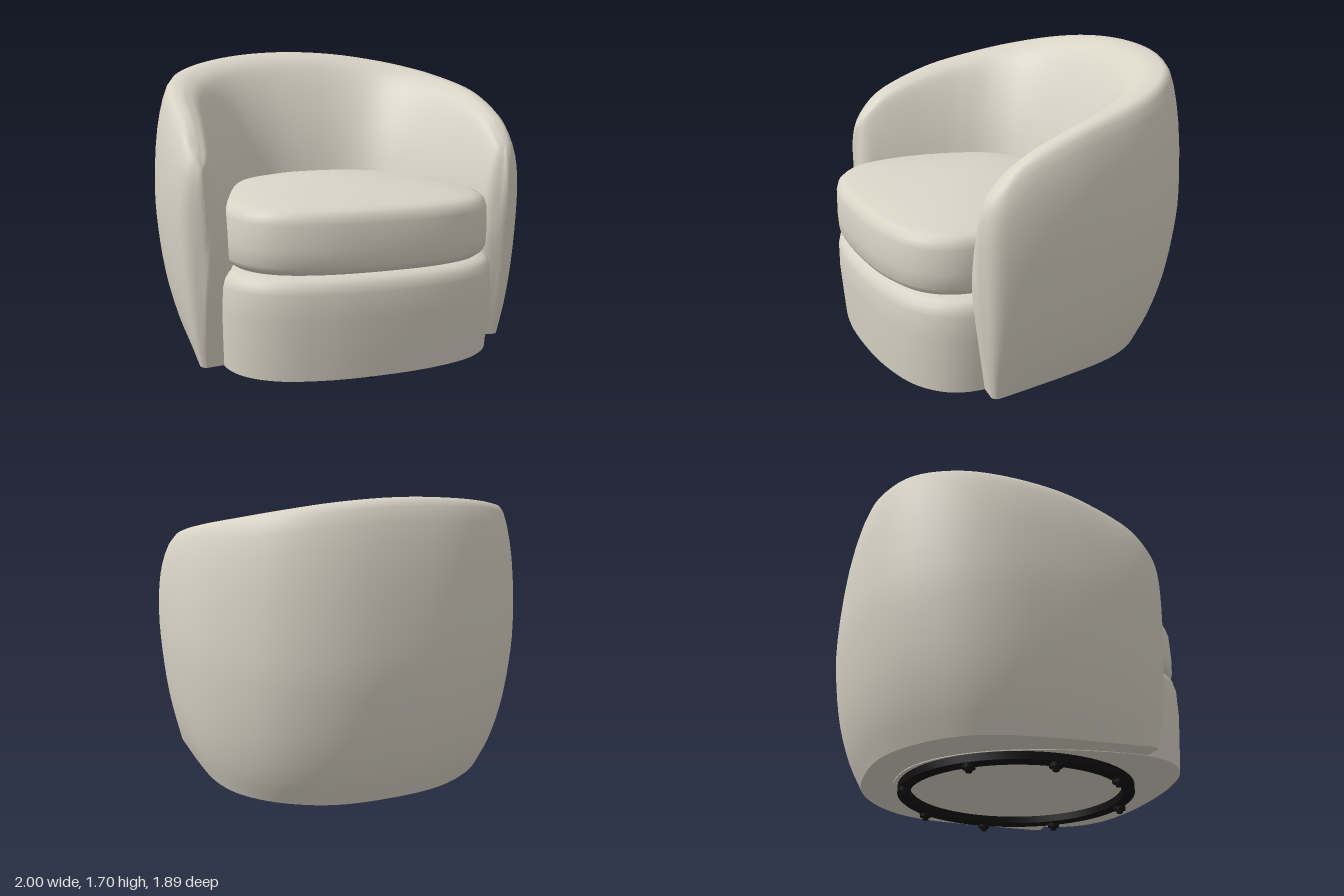
import * as THREE from 'three';
import { toCreasedNormals } from 'three/addons/utils/BufferGeometryUtils.js';

const V = (x, y, z) => new THREE.Vector3(x, y, z);
const mix = (a, b, t) => a + (b - a) * t;

// Skin a stack of point rows; columns run rightwards as seen from outside, rows run upwards
function skin(rows, closed, crease) {
  const n = rows[0].length, pos = [], index = [];
  rows.forEach(r => r.forEach(p => pos.push(p.x, p.y, p.z)));
  for (let r = 0; r < rows.length - 1; r++) {
    for (let c = 0; c < (closed ? n : n - 1); c++) {
      const a = r * n + c, b = r * n + (c + 1) % n;
      index.push(a, b, b + n, a, b + n, a + n);
    }
  }
  const g = new THREE.BufferGeometry();
  g.setAttribute('position', new THREE.Float32BufferAttribute(pos, 3));
  g.setIndex(index);
  return toCreasedNormals(g, crease);
}

// Upholstered pad: mirrored plan outline, stacked as [height, scale] layers
function pad(half, layers, cz) {
  const mirrored = half.slice(1, -1).reverse().map(([x, z]) => [-x, z]);
  const curve = new THREE.CatmullRomCurve3([...half, ...mirrored].map(([x, z]) => V(x, 0, z)), true);
  const plan = curve.getPoints(72).slice(0, -1);
  return skin(layers.map(([y, s]) => plan.map(p => V(p.x * s, y, cz + (p.z - cz) * s))), true, 0.8);
}

// Cross-section of the wrap-around shell: outer foot, up over the crest, down inside
function section({ o, b, c, i }) {
  const at = (p, q, t, y) => V(mix(p[0], q[0], t), y, mix(p[1], q[1], t));
  const cy = c[1], top = [c[0], c[2]];
  const edge = [mix(o[0], top[0], 0.55), mix(o[1], top[1], 0.55)];
  const foot = [i[0], i[1] - 0.6 * Math.max(0, i[1] - 0.5)]; // arm tips lean back at the floor
  return [
    at(b, o, 0, 0.09), at(b, o, 0.4, 0.25), at(b, o, 0.72, 0.45), at(b, o, 0.93, 0.7), at(o, o, 0, 0.95),
    at(o, edge, 0.3, mix(0.95, cy, 0.55)), at(edge, edge, 0, cy - 0.035), at(top, top, 0, cy),
    at(top, i, 0.18, cy - 0.02), at(top, i, 0.37, mix(cy, 0.75, 0.1)), at(top, i, 0.6, mix(cy, 0.75, 0.31)),
    at(top, i, 0.8, mix(cy, 0.75, 0.57)), at(top, i, 0.94, mix(cy, 0.75, 0.85)),
    at(i, i, 0, 0.68), at(i, foot, 0.3, 0.45), at(foot, foot, 0, 0.09),
  ];
}

function shellGeometry() {
  // Stations from the centre of the back to the tip of the left arm:
  // o = widest outline, b = bottom outline, c = crest, i = inner line at the seat
  const half = [
    { o: [0, -0.945], b: [0, -0.75], c: [0, 1.695, -0.775], i: [0, -0.27] },
    { o: [0.35, -0.91], b: [0.3, -0.72], c: [0.3, 1.68, -0.745], i: [0.2, -0.25] },
    { o: [0.645, -0.775], b: [0.55, -0.6], c: [0.56, 1.64, -0.64], i: [0.35, -0.18] },
    { o: [0.86, -0.53], b: [0.73, -0.42], c: [0.735, 1.59, -0.45], i: [0.45, -0.07] },
    { o: [0.968, -0.27], b: [0.82, -0.2], c: [0.825, 1.54, -0.22], i: [0.52, 0.07] },
    { o: [1, 0.05], b: [0.85, 0.08], c: [0.87, 1.48, 0.05], i: [0.57, 0.2] },
    { o: [0.995, 0.32], b: [0.86, 0.3], c: [0.87, 1.405, 0.28], i: [0.63, 0.37] },
    { o: [0.97, 0.5], b: [0.865, 0.45], c: [0.865, 1.33, 0.43], i: [0.68, 0.5] },
    { o: [0.93, 0.59], b: [0.865, 0.53], c: [0.86, 1.23, 0.54], i: [0.73, 0.6] },
    { o: [0.84, 0.638], b: [0.84, 0.556], c: [0.85, 1.17, 0.585], i: [0.84, 0.638] },
  ].map(section);
  const flipped = half.slice(1).map(s => s.map(p => V(-p.x, p.y, p.z)));
  const stations = [...half.reverse(), ...flipped];

  // Smooth along the sweep, then across each section; the end sections fold shut
  const rails = stations[0].map((_, j) =>
    new THREE.CatmullRomCurve3(stations.map(s => s[j]), false, 'catmullrom', 0.5).getPoints(90));
  const columns = rails[0].map((_, k) => {
    const pts = new THREE.CatmullRomCurve3(rails.map(r => r[k]), false, 'catmullrom', 0.5).getPoints(45);
    const isTip = k === 0 || k === rails[0].length - 1;
    const ring = isTip ? pts.map((p, j) => p.clone().lerp(pts[pts.length - 1 - j], 0.5)) : pts;
    return [...ring, ring[0].clone()]; // flat underside
  });
  const rows = columns[0].map((_, j) => columns.map(col => col[j]));
  return skin(rows, false, 0.9);
}

export function createModel() {
  const model = new THREE.Group();
  const fabric = new THREE.MeshStandardMaterial({ color: 0xd9d3c6 });
  fabric.name = 'warm grey fabric';
  const black = new THREE.MeshStandardMaterial({ color: 0x101010 });
  black.name = 'black metal';
  const add = (name, geometry, material, parent = model) => {
    const mesh = new THREE.Mesh(geometry, material);
    mesh.name = name;
    parent.add(mesh);
    return mesh;
  };

  // Back and arms in one sweep
  add('backAndArms', shellGeometry(), fabric);

  // Upholstered seat base
  add('seatBase', pad(
    [[0, 0.945], [0.3, 0.925], [0.55, 0.855], [0.7, 0.73], [0.765, 0.55],
      [0.72, 0.1], [0.55, -0.3], [0.3, -0.53], [0, -0.6]],
    [[0.086, 0], [0.086, 0.975], [0.2, 0.985], [0.4, 1], [0.53, 0.998],
      [0.575, 0.985], [0.6, 0.955], [0.612, 0.9], [0.612, 0]], 0.15), fabric);

  // Domed loose cushion
  add('seatCushion', pad(
    [[0, 0.94], [0.34, 0.915], [0.57, 0.83], [0.69, 0.69], [0.73, 0.5],
      [0.67, 0.1], [0.5, -0.22], [0.26, -0.37], [0, -0.4]],
    [[0.61, 0], [0.61, 0.88], [0.622, 0.94], [0.645, 0.978], [0.67, 0.995], [0.75, 1], [0.88, 0.995],
      [0.92, 0.98], [0.943, 0.95], [0.955, 0.9], [0.978, 0.72], [0.995, 0.5], [1.01, 0.25], [1.015, 0]], 0.2), fabric);

  // Swivel ring with eight glides
  const swivel = new THREE.Group();
  swivel.name = 'swivelBase';
  swivel.position.z = 0.1;
  model.add(swivel);
  const ringProfile = [[0.59, 0.09], [0.59, 0.045], [0.6, 0.035], [0.645, 0.035], [0.658, 0.045], [0.658, 0.09], [0.59, 0.09]];
  add('swivelRing', toCreasedNormals(
    new THREE.LatheGeometry(ringProfile.map(([r, y]) => new THREE.Vector2(r, y)), 64), 0.6), black, swivel);
  for (const degrees of [0, 50, 90, 130, 180, 230, 270, 310]) {
    const a = THREE.MathUtils.degToRad(degrees), x = 0.63 * Math.sin(a), z = 0.63 * Math.cos(a);
    add('glideMount', new THREE.CylinderGeometry(0.036, 0.034, 0.022, 14), black, swivel).position.set(x, 0.029, z);
    add('glideFoot', new THREE.CylinderGeometry(0.022, 0.016, 0.02, 14), black, swivel).position.set(x, 0.01, z);
  }
  return model;
}
